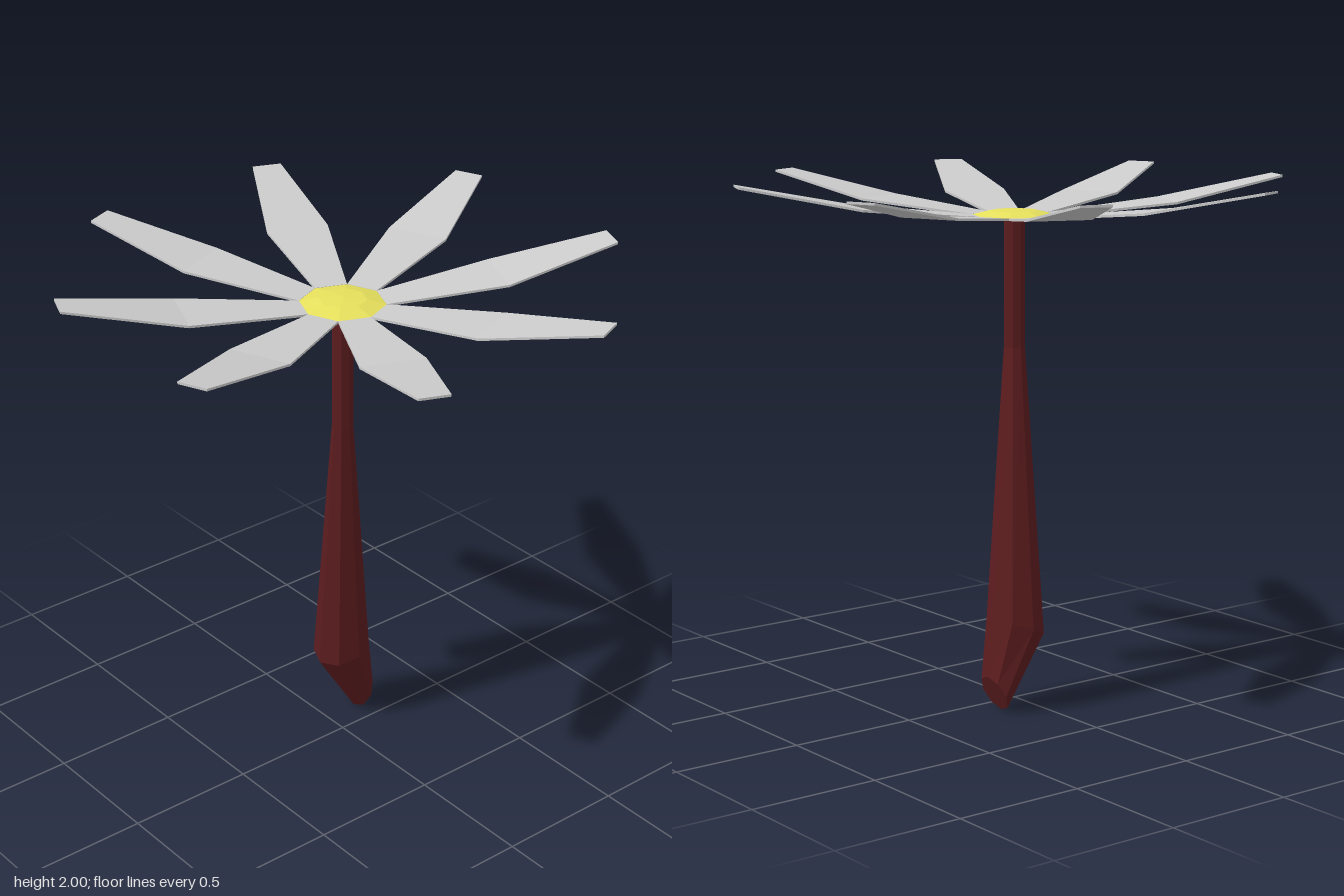
import * as THREE from 'three';

const mat = (color) => new THREE.MeshStandardMaterial({ color, flatShading: true });

// Moves every vertex of a geometry by a rule
function reshape(geometry, rule) {
  const p = geometry.attributes.position;
  const v = new THREE.Vector3();
  for (let i = 0; i < p.count; i++) {
    rule(v.fromBufferAttribute(p, i));
    p.setXYZ(i, v.x, v.y, v.z);
  }
  geometry.computeVertexNormals();
  return geometry;
}

function add(parent, name, geometry, material) {
  const mesh = new THREE.Mesh(geometry, material);
  mesh.name = name;
  parent.add(mesh);
  return mesh;
}

export function createModel() {
  const model = new THREE.Group();
  model.name = 'flower';
  const grey = mat(0xcccccc);

  // Petals: thin slabs, one per side of the octagonal centre
  const stations = [ // distance from axis, half width, top height
    [0.148, 0.061, 1.87],
    [0.6, 0.12, 1.913],
    [1.043, 0.057, 2.0],
  ];
  const petalGeometry = reshape(new THREE.BoxGeometry(1, 1, 1, 1, 1, 2), (v) => {
    const [along, half, top] = stations[Math.round(v.z * 2 + 1)];
    v.set(v.x * 2 * half, top - (v.y < 0 ? 0.009 : 0), along);
  });
  const petals = new THREE.Group();
  petals.name = 'petals';
  model.add(petals);
  for (let i = 0; i < 8; i++) {
    add(petals, 'petal', petalGeometry, grey).rotation.y = (i + 0.5) * Math.PI / 4;
  }

  // Underside joining the petals
  add(model, 'petalBase', new THREE.CylinderGeometry(0.16, 0.16, 0.008, 8), grey).position.y = 1.865;

  // Low yellow dome
  const dome = [[0.16, 1.869], [0.09, 1.886], [0, 1.891]].map(([r, y]) => new THREE.Vector2(r, y));
  add(model, 'flowerCentre', new THREE.LatheGeometry(dome, 8), mat(0xe6e05c));

  // Bent eight-sided stem, swelling downwards to a slanted cut end
  const rings = [ // centre x, y, z, then tilted radius in x and y, radius in z
    [0, 1.864, 0, 0.04, 0, 0.04],
    [0, 1.375, 0, 0.04, -0.005, 0.04],
    [0.067, 0.32, -0.092, 0.107, 0.04, 0.113],
    [0.172, 0.07, -0.1, 0.033, 0.07, 0.072],
  ];
  add(model, 'stem', reshape(new THREE.CylinderGeometry(1, 1, 1, 8, 3), (v) => {
    const [x, y, z, rx, ry, rz] = rings[Math.round((0.5 - v.y) * 3)];
    v.set(x + v.x * rx, y + v.x * ry, z + v.z * rz);
  }), mat(0x5c1c1e));

  return model;
}
